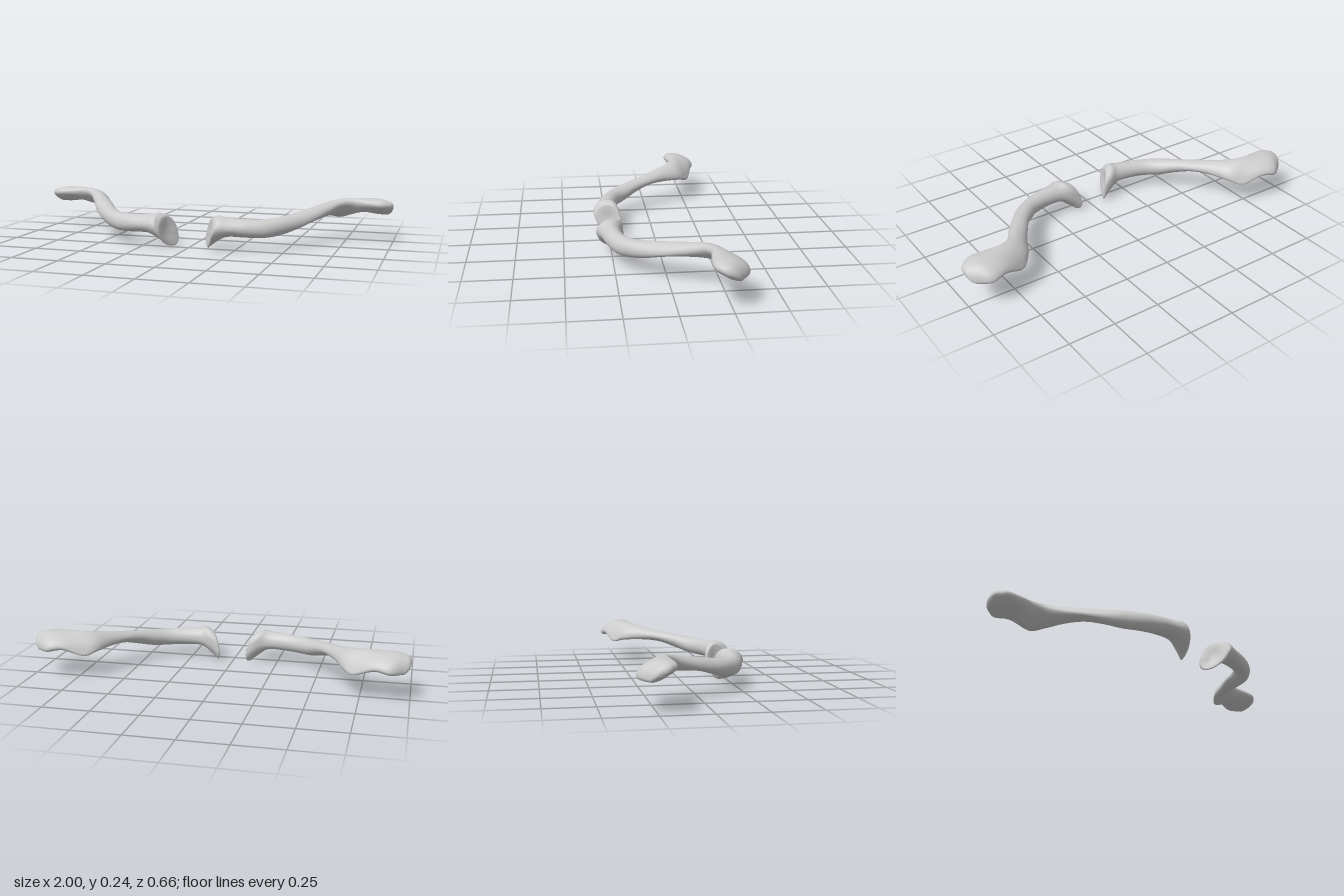
import * as THREE from 'three';

// Four rails run along the bone from its inner to its outer end.
const RAILS = {
  front: [
    [.145, .085, .322], [.168, .11, .328], [.24, .115, .306], [.32, .115, .285], [.41, .115, .248],
    [.49, .125, .185], [.56, .135, .105], [.625, .155, .015], [.685, .18, -.085], [.73, .2, -.145],
    [.785, .205, -.173], [.86, .205, -.163], [.94, .2, -.16], [.985, .195, -.19],
  ],
  top: [
    [.128, .165, .235], [.165, .177, .245], [.21, .17, .25], [.305, .165, .237], [.39, .163, .205],
    [.46, .168, .15], [.525, .18, .075], [.585, .196, -.01], [.645, .215, -.11], [.69, .225, -.18],
    [.755, .23, -.22], [.84, .235, -.23], [.92, .233, -.24], [.98, .218, -.235],
  ],
  back: [
    [.08, .07, .18], [.13, .11, .185], [.2, .115, .2], [.29, .115, .192], [.37, .115, .165],
    [.43, .125, .112], [.49, .145, .045], [.545, .16, -.04], [.6, .165, -.13], [.65, .16, -.225],
    [.72, .15, -.278], [.82, .175, -.318], [.9, .17, -.333], [.97, .165, -.285],
  ],
  bottom: [
    [.098, .002, .222], [.135, .03, .235], [.2, .07, .245], [.305, .07, .237], [.39, .068, .21],
    [.46, .076, .155], [.525, .1, .085], [.59, .13, -.005], [.64, .14, -.11], [.68, .138, -.2],
    [.725, .127, -.255], [.83, .155, -.25], [.91, .145, -.27], [.965, .145, -.26],
  ],
};
const STEPS = 78, SIDES = 32;

// Skin of elliptical rings through the rails; side is +1 (left) or -1 (right)
function boneGeometry(side) {
  const curves = Object.values(RAILS).map(rail =>
    new THREE.CatmullRomCurve3(rail.map(p => new THREE.Vector3(...p)), false, 'catmullrom', 0.5));
  const positions = [], index = [];
  const push = p => positions.push(p.x * side, p.y, p.z);

  const addRing = (t, shrink, shift) => {
    const [f, u, b, d] = curves.map(c => c.getPoint(t));
    const c = f.clone().add(u).add(b).add(d).multiplyScalar(0.25);
    for (let i = 0; i < SIDES; i++) {
      const a = i / SIDES * Math.PI * 2, ca = Math.cos(a), sa = Math.sin(a);
      const p = c.clone()
        .addScaledVector((ca >= 0 ? f : b).clone().sub(c), Math.abs(ca) * shrink)
        .addScaledVector((sa >= 0 ? u : d).clone().sub(c), Math.abs(sa) * shrink);
      p.x += shift;
      push(p);
    }
    return c;
  };

  // Rounded rim of the inner joint face, the shaft, then the domed outer tip
  const rings = [[0, 0.45, 0.006], [0, 0.88, -0.006]];
  for (let s = 0; s <= STEPS; s++) rings.push([s / STEPS, 1, 0]);
  rings.push([1, 0.8, 0.011], [1, 0.45, 0.019]);
  const centres = rings.map(r => addRing(...r));

  const quad = (a, b, c, d) => index.push(a, b, d, b, c, d);
  for (let r = 0; r < rings.length - 1; r++) {
    for (let i = 0; i < SIDES; i++) {
      const j = (i + 1) % SIDES, o = r * SIDES, n = o + SIDES;
      quad(o + i, n + i, n + j, o + j);
    }
  }

  // Close both ends
  const inner = rings.length * SIDES, last = inner - SIDES;
  centres[0].x += 0.01;
  centres.at(-1).x += 0.022;
  push(centres[0]);
  push(centres.at(-1));
  for (let i = 0; i < SIDES; i++) {
    const j = (i + 1) % SIDES;
    index.push(inner, i, j, inner + 1, last + j, last + i);
  }

  // The mirrored bone needs its corners in the opposite order
  if (side < 0) index.reverse();
  const geometry = new THREE.BufferGeometry();
  geometry.setAttribute('position', new THREE.Float32BufferAttribute(positions, 3));
  geometry.setIndex(index);
  geometry.computeVertexNormals();
  return geometry;
}

export function createModel() {
  const group = new THREE.Group();
  group.name = 'collarbones';
  const material = new THREE.MeshStandardMaterial({ color: 0xcccccc });
  for (const [name, side] of [['leftCollarbone', 1], ['rightCollarbone', -1]]) {
    const bone = new THREE.Mesh(boneGeometry(side), material);
    bone.name = name;
    group.add(bone);
  }
  return group;
}
